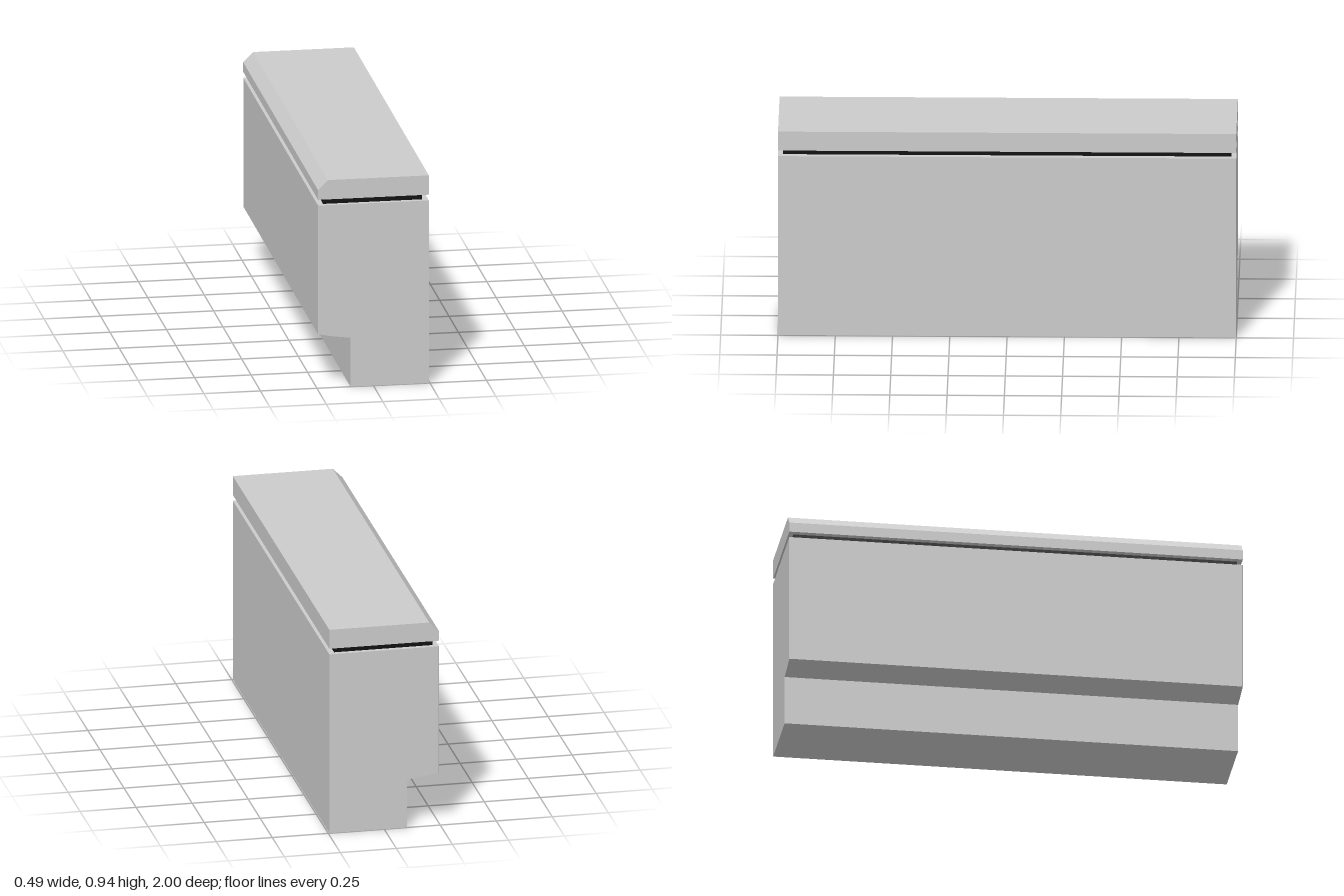
import * as THREE from 'three';

const grey = new THREE.MeshStandardMaterial({ color: 0xcccccc, flatShading: true });
const black = new THREE.MeshStandardMaterial({ color: 0x111111, flatShading: true });

// Prism with the given outline, extruded and centred along its depth
function prism(name, points, depth) {
  const shape = new THREE.Shape(points.map(([x, y]) => new THREE.Vector2(x, y)));
  const geometry = new THREE.ExtrudeGeometry(shape, { depth, bevelEnabled: false });
  geometry.translate(0, 0, -depth / 2);
  const mesh = new THREE.Mesh(geometry, grey);
  mesh.name = name;
  return mesh;
}

export function createModel() {
  const group = new THREE.Group();
  group.name = 'counter';

  const halfWidth = 0.245;
  const chamfer = 0.003;
  const bodyTop = 0.831;
  const lidBottom = 0.857;
  const overhang = 0.245;

  // Body with a recessed base under a gently curved overhang
  group.add(prism('body', [
    [-0.102, 0], [halfWidth, 0], [halfWidth, bodyTop], [-halfWidth + chamfer, bodyTop],
    [-halfWidth + chamfer, overhang], [-0.187, 0.234], [-0.102, 0.223],
  ], 2));

  // Thin facing with chamfered vertical edges
  const height = bodyTop - overhang;
  const facing = prism('facing', [
    [-halfWidth + chamfer, -1], [-halfWidth + chamfer, 1],
    [-halfWidth, 1 - chamfer], [-halfWidth, -1 + chamfer],
  ], height);
  facing.rotation.x = -Math.PI / 2;
  facing.position.y = overhang + height / 2;
  group.add(facing);

  // Dark shadow gap between body and top
  const gap = new THREE.Mesh(new THREE.BoxGeometry(0.438, lidBottom - bodyTop, 1.956), black);
  gap.name = 'shadowGap';
  gap.position.y = (bodyTop + lidBottom) / 2;
  group.add(gap);

  // Top slab with one chamfered long edge
  group.add(prism('topSlab', [
    [-halfWidth, lidBottom], [halfWidth, lidBottom], [halfWidth, 0.945],
    [-0.201, 0.945], [-halfWidth, 0.901],
  ], 2));

  return group;
}
